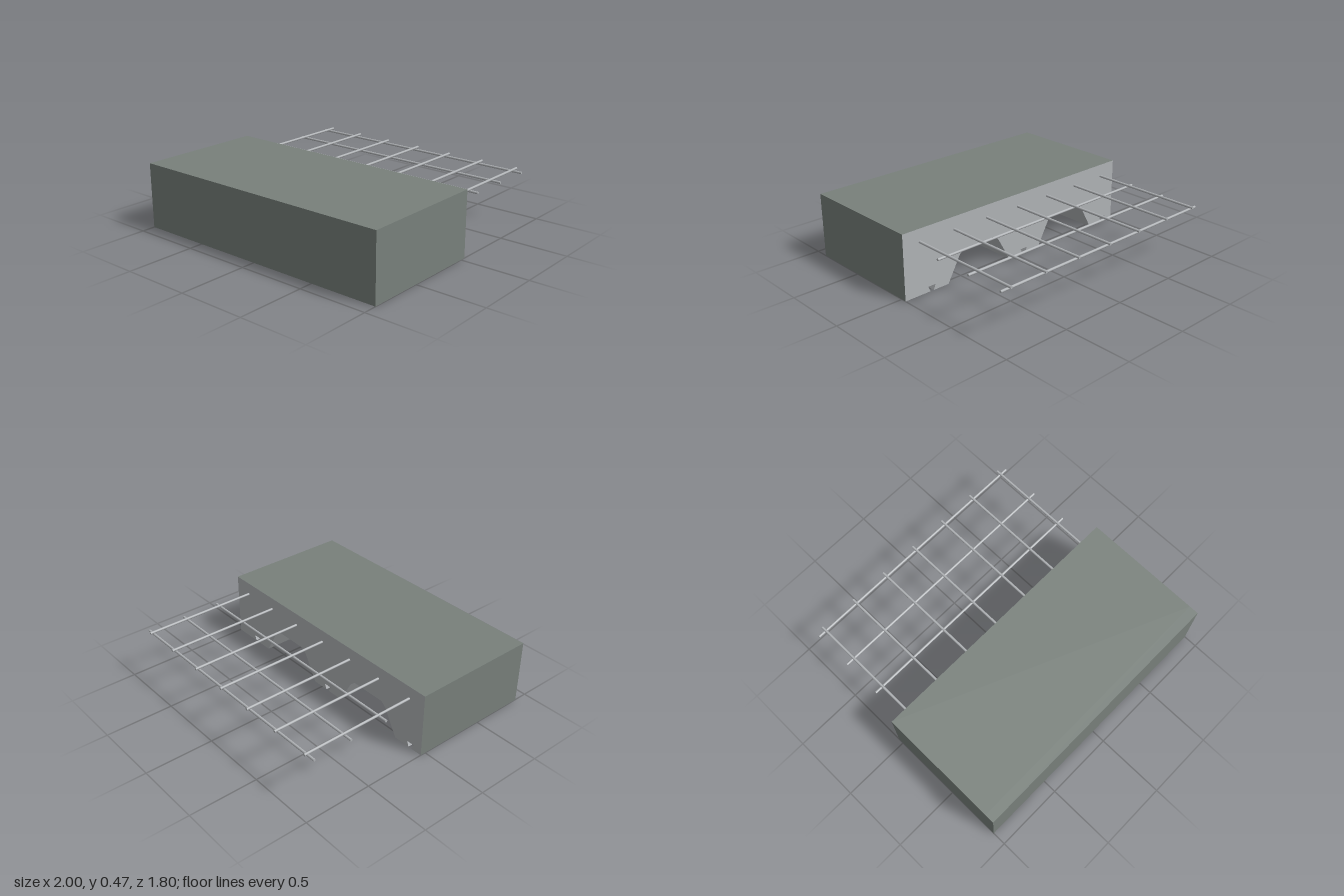
import * as THREE from 'three';

const concrete = new THREE.MeshStandardMaterial({ color: 0x78807b });
concrete.name = 'green grey concrete';
const steel = new THREE.MeshStandardMaterial({ color: 0xb0b3b6 });
steel.name = 'light grey steel';

const BACK = -0.04, FRONT = 0.9, WALL = 0.07, HEIGHT = 0.475;

// underside of the deck, from -x to +x: dovetail slots alternate with trapezoid voids
function deckProfile() {
  const slot = c => [[-0.014, 0], [-0.03, 0.04], [0.03, 0.04], [0.014, 0]].map(([x, y]) => new THREE.Vector2(c + x, y));
  const hollow = c => [[-0.28, 0], [-0.175, 0.185], [-0.135, 0.22], [0.135, 0.22], [0.175, 0.185], [0.28, 0]]
    .map(([x, y]) => new THREE.Vector2(c + x, y));
  return [
    new THREE.Vector2(-0.94, 0),
    ...slot(-0.9), ...hollow(-0.48), ...slot(-0.06), ...hollow(0.36), ...slot(0.78),
    new THREE.Vector2(0.82, 0),
  ];
}

// shifts a profile sideways into the concrete
function offset(points, d) {
  return points.map((p, i) => {
    const a = points[Math.max(i - 1, 0)], b = points[Math.min(i + 1, points.length - 1)];
    const before = p.clone().sub(a).normalize(), after = b.clone().sub(p).normalize();
    const t = before.add(after).normalize();
    return new THREE.Vector2(p.x - t.y * d, p.y + t.x * d);
  });
}

function extrude(points, z0, z1) {
  const g = new THREE.ExtrudeGeometry(new THREE.Shape(points), { depth: z1 - z0, bevelEnabled: false });
  return g.translate(0, 0, z0);
}

export function createModel() {
  const model = new THREE.Group();
  model.name = 'compositeFloorSlab';
  const add = (name, geometry, material, parent = model) => {
    const mesh = new THREE.Mesh(geometry, material);
    mesh.name = name;
    parent.add(mesh);
    return mesh;
  };

  const under = deckProfile();
  const inner = offset(under, 0.006);
  const V = (x, y) => new THREE.Vector2(x, y);

  // concrete slab with a pale cut face at the back
  const slabOutline = [
    V(-1, 0), under[0], ...inner, under[under.length - 1], V(1, 0), V(1, HEIGHT), V(-1, HEIGHT),
  ];
  add('concreteSlab', extrude(slabOutline, BACK, FRONT - WALL), [steel, concrete]);

  // solid edge closing the front
  add('frontEdge', new THREE.BoxGeometry(2, HEIGHT, WALL).translate(0, HEIGHT / 2, FRONT - WALL / 2), concrete);

  // folded steel sheet lining the underside
  add('steelDeck', extrude([...under, ...inner.slice().reverse()], BACK, FRONT - WALL), steel);

  // reinforcement mesh projecting from the back
  const mesh = new THREE.Group();
  mesh.name = 'reinforcementMesh';
  model.add(mesh);
  const r = 0.009;
  const longLength = 0.9 + BACK + 0.02;
  for (let i = -3; i <= 3; i++) {
    const rod = add('longRod', new THREE.CylinderGeometry(r, r, longLength, 12), steel, mesh);
    rod.rotation.x = Math.PI / 2;
    rod.position.set(i * 0.288, 0.383, -0.9 + longLength / 2);
  }
  for (let i = 0; i < 3; i++) {
    const rod = add('crossRod', new THREE.CylinderGeometry(r, r, 1.85, 12), steel, mesh);
    rod.rotation.z = Math.PI / 2;
    rod.position.set(0, 0.366, -0.295 - i * 0.288);
  }
  return model;
}
